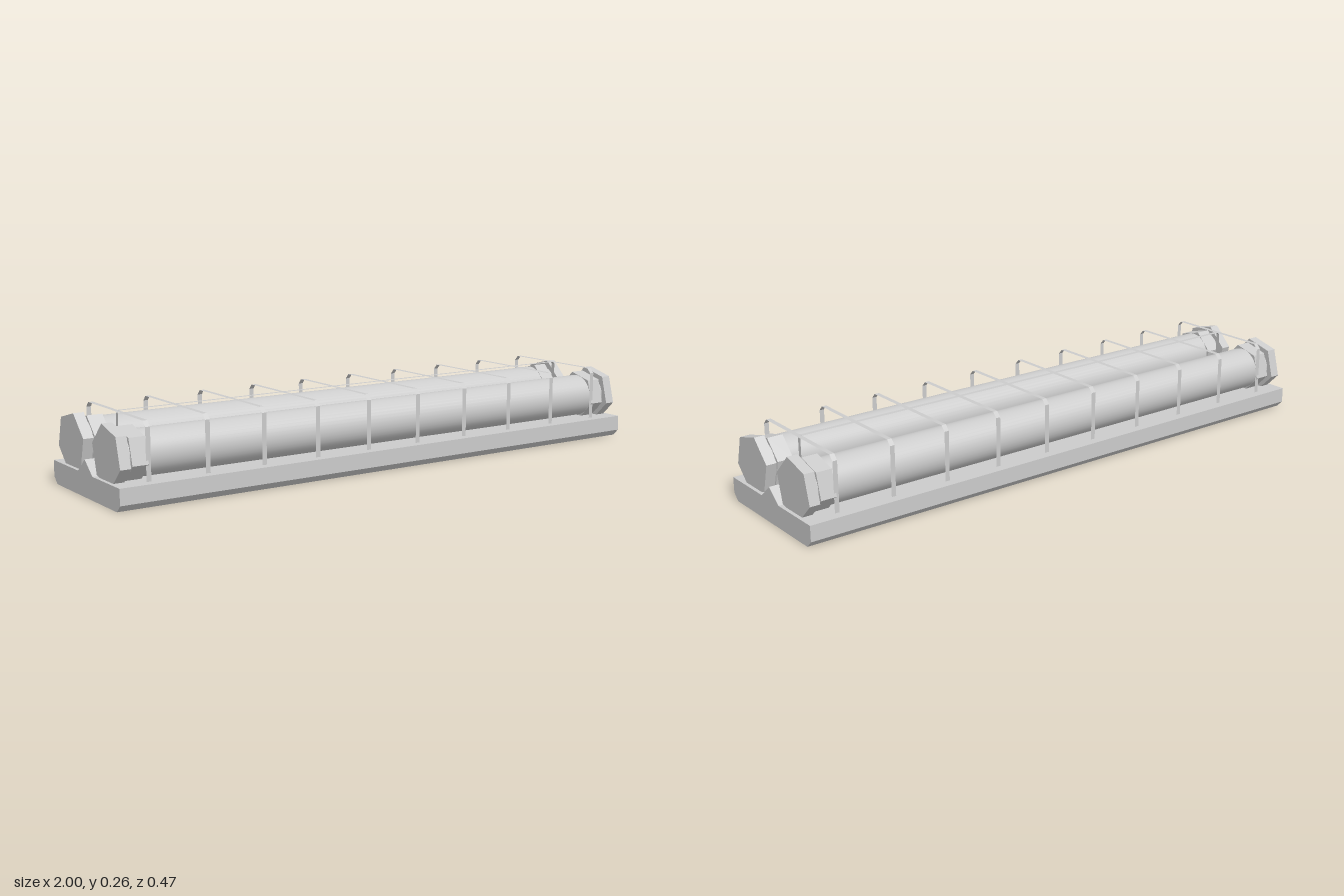
import * as THREE from 'three';

const material = new THREE.MeshStandardMaterial({ color: 0xcccccc });
const flat = new THREE.MeshStandardMaterial({ color: 0xcccccc, flatShading: true });
const thin = new THREE.MeshStandardMaterial({ color: 0xcccccc, flatShading: true, side: THREE.DoubleSide });

const TUBE_Y = 0.148, TUBE_Z = 0.126;

function add(parent, name, geometry, mat) {
  const mesh = new THREE.Mesh(geometry, mat);
  mesh.name = name;
  parent.add(mesh);
  return mesh;
}

// Flat strip of the given width swept along a path of [u, y] points
function ribbon(path, width) {
  const pos = [], index = [];
  path.forEach(([u, y], i) => {
    pos.push(-width / 2, y, u, width / 2, y, u);
    if (i > 0) {
      const a = 2 * i - 2;
      index.push(a, a + 2, a + 1, a + 1, a + 2, a + 3);
    }
  });
  const g = new THREE.BufferGeometry();
  g.setAttribute('position', new THREE.Float32BufferAttribute(pos, 3));
  g.setIndex(index);
  g.computeVertexNormals();
  return g;
}

// Cylinder along x from x0 to x1
function rod(radius, x0, x1, sides) {
  return new THREE.CylinderGeometry(radius, radius, x1 - x0, sides)
    .rotateZ(-Math.PI / 2)
    .translate((x0 + x1) / 2, 0, 0);
}

// One lamp tube with hexagonal end caps
function makeTube(side) {
  const tube = new THREE.Group();
  tube.name = side > 0 ? 'frontTube' : 'backTube';
  add(tube, 'glassTube', rod(0.073, -0.9, 0.9, 40), material);
  const turn = side * Math.PI / 12;
  for (const end of [-1, 1]) {
    const span = (a, b) => (end > 0 ? [a, b] : [-b, -a]);
    add(tube, 'collar', rod(0.085, ...span(0.89, 0.943), 6).rotateX(turn), flat);
    add(tube, 'neck', rod(0.07, ...span(0.94, 0.96), 24), material);
    add(tube, 'endCap', rod(0.0975, ...span(0.953, 0.988), 6).rotateX(turn), flat);
  }
  tube.position.set(0, TUBE_Y, side * TUBE_Z);
  return tube;
}

export function createModel() {
  const model = new THREE.Group();
  model.name = 'cagedTwinTubeLight';

  // Base plate with chamfered bottom edges and a central ridge
  const half = [[0.215, 0], [0.237, 0.022], [0.237, 0.074], [0.052, 0.074]];
  const outline = [
    ...half, [0, 0.118],
    ...half.slice().reverse().map(([z, y]) => [-z, y]),
  ];
  const shape = new THREE.Shape(outline.map(([z, y]) => new THREE.Vector2(z, y)));
  const base = new THREE.ExtrudeGeometry(shape, { depth: 2, bevelEnabled: false });
  base.translate(0, 0, -1).rotateY(Math.PI / 2);
  add(model, 'base', base, flat);

  // Twin tubes
  for (const side of [1, -1]) model.add(makeTube(side));

  // Cage hoops across both tubes
  const cage = new THREE.Group();
  cage.name = 'cage';
  const hoop = ribbon([
    [-0.205, 0.07], [-0.205, 0.238], [-0.19, 0.255],
    [0.19, 0.255], [0.205, 0.238], [0.205, 0.07],
  ], 0.016);
  for (let i = 0; i < 10; i++) {
    add(cage, 'hoop', hoop, thin).position.x = -0.89 + i * (1.78 / 9);
  }

  // Lengthwise strip joining the hoops, bent down to the ridge at each end
  const spine = ribbon([
    [-0.89, 0.11], [-0.89, 0.248], [-0.883, 0.256],
    [0.883, 0.256], [0.89, 0.248], [0.89, 0.11],
  ], 0.014).rotateY(Math.PI / 2);
  add(cage, 'spine', spine, thin);
  model.add(cage);

  return model;
}
